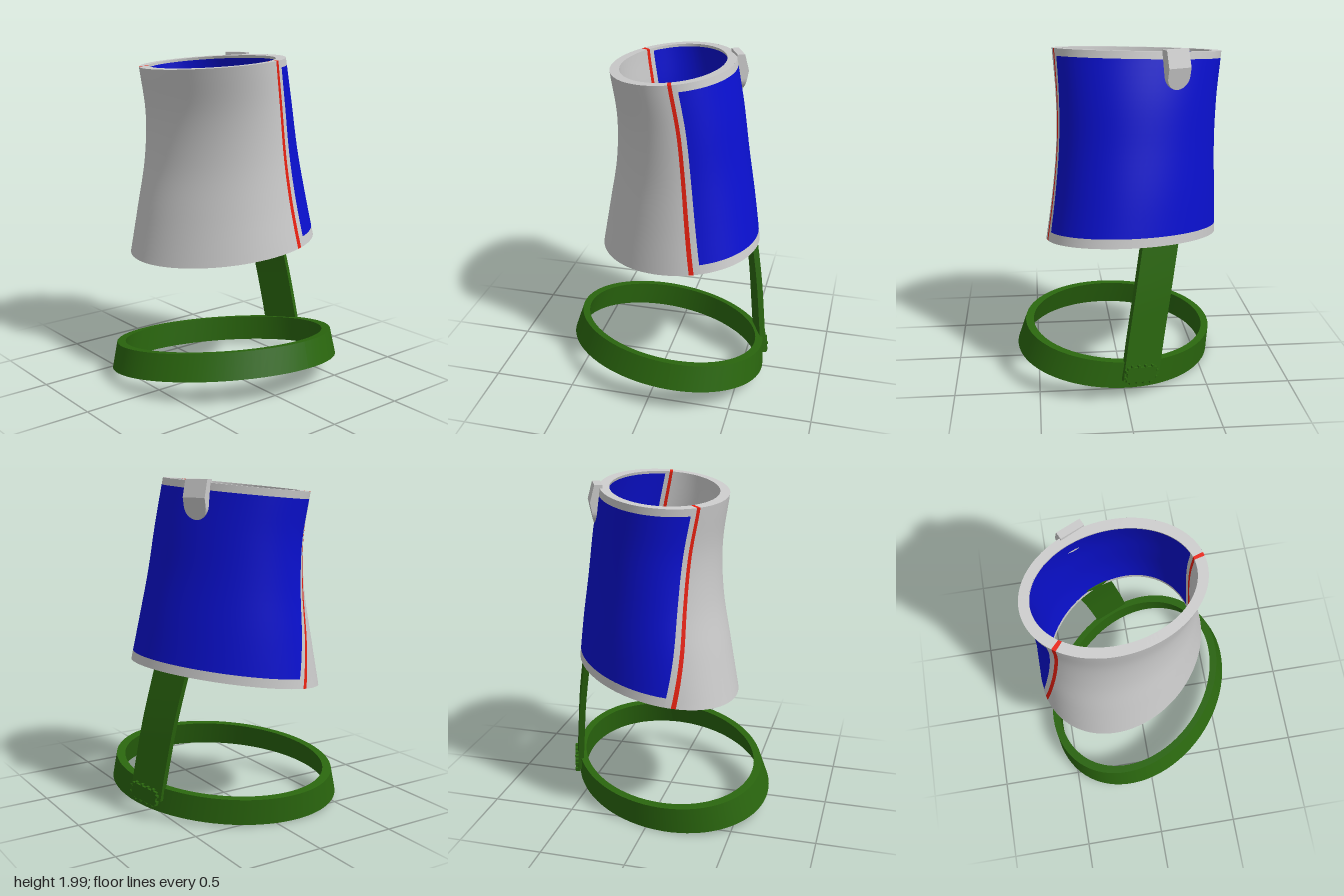
import * as THREE from 'three';
import { mergeGeometries } from 'three/addons/utils/BufferGeometryUtils.js';

const mat = (color) => new THREE.MeshStandardMaterial({ color, side: THREE.DoubleSide });
const GREY = mat(0xcccccc), BLUE = mat(0x0a10d0), RED = mat(0xe82010), GREEN = mat(0x2a660e);

// Grid surface from a rule f(u, v) -> Vector3
function patch(f, nu, nv, flip = false) {
  const pos = [], index = [];
  for (let j = 0; j <= nv; j++)
    for (let i = 0; i <= nu; i++) pos.push(...f(i / nu, j / nv).toArray());
  for (let j = 0; j < nv; j++)
    for (let i = 0; i < nu; i++) {
      const a = j * (nu + 1) + i, b = a + 1, c = a + nu + 1, d = c + 1;
      index.push(...(flip ? [a, b, c, b, d, c] : [a, c, b, b, c, d]));
    }
  const g = new THREE.BufferGeometry();
  g.setAttribute('position', new THREE.Float32BufferAttribute(pos, 3));
  g.setIndex(index);
  g.computeVertexNormals();
  return g;
}

// Point on a skewed ellipse (x, z) at angle t
function oval(cx, cz, a, b, skew, t) {
  const c = Math.cos(t);
  return [cx + a * c, cz + b * (skew * c + Math.sqrt(1 - skew * skew) * Math.sin(t))];
}

// Cuff extents from bottom to top: right, left, front, back
const extents = new THREE.CubicInterpolant(
  [0, 0.25, 0.5, 0.75, 1],
  [
    0.437, -0.62, 0.46, -0.57,
    0.395, -0.605, 0.405, -0.525,
    0.367, -0.592, 0.352, -0.475,
    0.363, -0.598, 0.338, -0.43,
    0.38, -0.628, 0.372, -0.373,
  ], 4);

// Cuff wall point: angle t, height fraction s, depth 0 (outer) to 1 (inner);
// the wall is thinnest at mid height
function cuffPoint(t, s, depth) {
  const [r, l, f, b] = extents.evaluate(s);
  const d = depth * (0.03 + 0.112 * (s - 0.5) ** 2);
  const [x, z] = oval((r + l) / 2, (f + b) / 2, (r - l) / 2 - d, (f - b) / 2 - d, -0.22 + 0.14 * s, t);
  const low = 0.84 + 0.004 * x - 0.146 * (z + 0.055);
  const high = 1.96 + 0.03 * (x + 0.125) - 0.088 * z;
  return new THREE.Vector3(x, low + (high - low) * s, z);
}

// Seam angles along the height
const seamR = (s) => -0.155 - 0.03 * s + 0.16 * s * (1 - s);
const seamL = (s) => 2.9 - 0.54 * s - 0.3 * s * (1 - s);
const seamBack = (s) => seamL(s) - 2 * Math.PI;
const shift = (f, d) => (s) => f(s) + d;

// Piece of the outer (depth 0) or inner (depth 1) face between two angle rules
function face(from, to, s0, s1, depth, nu) {
  return patch((u, v) => {
    const s = s0 + (s1 - s0) * v;
    return cuffPoint(from(s) + (to(s) - from(s)) * u, s, depth);
  }, nu, Math.max(2, Math.round(24 * (s1 - s0))), depth > 0);
}

// Rim strip closing the wall at s = 0 or s = 1
function rim(from, to, s, nu) {
  return patch((u, v) => cuffPoint(from(s) + (to(s) - from(s)) * u, s, v), nu, 1, s === 0);
}

function sector(from, to, nu) {
  return mergeGeometries([
    face(from, to, 0, 1, 0, nu), face(from, to, 0, 1, 1, nu),
    rim(from, to, 0, nu), rim(from, to, 1, nu),
  ]);
}

function createCuff(add) {
  const h = 0.029, gap = 0.11;
  add('cuffFront', sector(shift(seamR, h), shift(seamL, -h), 48), GREY);
  add('seamRight', sector(shift(seamL, -h), shift(seamL, h), 2), RED);
  add('seamLeft', sector(shift(seamR, -h), shift(seamR, h), 2), RED);

  // Back half: grey frame around a blue panel, on both faces
  const a = shift(seamBack, h), b = shift(seamBack, gap);
  const c = shift(seamR, -gap), e = shift(seamR, -h);
  const frame = [rim(a, e, 0, 56), rim(a, e, 1, 56)], panel = [];
  for (const [depth, s0, s1] of [[0, 0.05, 0.962], [1, 0.03, 0.985]]) {
    frame.push(face(a, b, 0, 1, depth, 3), face(c, e, 0, 1, depth, 3));
    frame.push(face(b, c, 0, s0, depth, 52), face(b, c, s1, 1, depth, 52));
    panel.push(face(b, c, s0, s1, depth, 52));
  }
  add('cuffBackFrame', mergeGeometries(frame), GREY);
  add('backPanel', mergeGeometries(panel), BLUE);
}

// Tab on the back of the rim: round-ended plate, thickest part way down
function createTab(add) {
  const w = 0.0735, outline = new THREE.Shape();
  outline.moveTo(-w, 2).lineTo(-w, 1.9).lineTo(-w, 1.85);
  outline.absarc(0, 1.85, w, Math.PI, 2 * Math.PI).lineTo(w, 1.9).lineTo(w, 2);
  const g = new THREE.ExtrudeGeometry(outline, { depth: 1, bevelEnabled: false });
  const p = g.attributes.position;
  for (let i = 0; i < p.count; i++) {
    const y = p.getY(i);
    const thick = y > 1.9 ? 0.045 + 0.27 * (2 - y) : 0.072 - 0.2 * (1.9 - y);
    p.setZ(i, p.getZ(i) * thick);
  }
  g.computeVertexNormals();
  g.rotateY(Math.PI + 0.43).translate(-0.29, 0, -0.33);
  add('rimTab', g, GREY);
}

// Tilted, slightly tapered band
function createRing(add) {
  const ringPoint = (top, inset, t) => {
    const [x, z] = top
      ? oval(-0.018, -0.014, 0.592 - inset, 0.62 - inset, -0.24, t)
      : oval(0.011, 0.005, 0.614 - inset, 0.65 - inset, -0.24, t);
    return new THREE.Vector3(x, (top ? 0.256 : 0.096) + 0.148 * x + 0.03 * z, z);
  };
  const T = 0.048;
  const corners = [[0, 0], [1, 0], [1, T], [0, T]];
  const sides = corners.map((p, i) => {
    const q = corners[(i + 1) % 4];
    return patch((u, v) => ringPoint(p[0], p[1], u * 2 * Math.PI)
      .lerp(ringPoint(q[0], q[1], u * 2 * Math.PI), v), 80, 1);
  });
  add('baseRing', mergeGeometries(sides), GREEN);
}

// Curved strap joining ring and cuff
function createStrut(add) {
  const path = new THREE.CatmullRomCurve3([
    [-0.085, 0.13, -0.592], [-0.115, 0.35, -0.567], [-0.157, 0.62, -0.533], [-0.21, 0.95, -0.474],
  ].map((p) => new THREE.Vector3(...p)));
  const g = new THREE.BoxGeometry(0.235, 1, 0.035, 1, 10, 1);
  g.rotateY(0.37);
  const p = g.attributes.position;
  for (let i = 0; i < p.count; i++) {
    const c = path.getPoint(p.getY(i) + 0.5);
    p.setXYZ(i, p.getX(i) + c.x, c.y, p.getZ(i) + c.z);
  }
  g.computeVertexNormals();
  add('strut', g, GREEN);
}

// Small toothed plate through the ring where the strut meets it
function createConnector(add) {
  const parts = [
    new THREE.BoxGeometry(0.19, 0.09, 0.03),
    new THREE.BoxGeometry(0.17, 0.075, 0.06).translate(0, 0, 0.025),
  ];
  const tooth = (x, y) => parts.push(new THREE.BoxGeometry(0.014, 0.014, 0.022).translate(x, y, -0.006));
  for (const side of [-1, 1]) {
    for (let i = 0; i < 4; i++) tooth(-0.066 + 0.044 * i, side * 0.05);
    for (let i = 0; i < 2; i++) tooth(side * 0.1, -0.02 + 0.04 * i);
  }
  const g = mergeGeometries(parts);
  g.rotateZ(0.14).rotateY(0.35).translate(-0.088, 0.155, -0.607);
  add('connector', g, GREEN);
}

export function createModel() {
  const model = new THREE.Group();
  model.name = 'cuffOnRing';
  const add = (name, geometry, material) => {
    const mesh = new THREE.Mesh(geometry, material);
    mesh.name = name;
    model.add(mesh);
  };
  for (const build of [createCuff, createTab, createRing, createStrut, createConnector]) build(add);
  return model;
}
